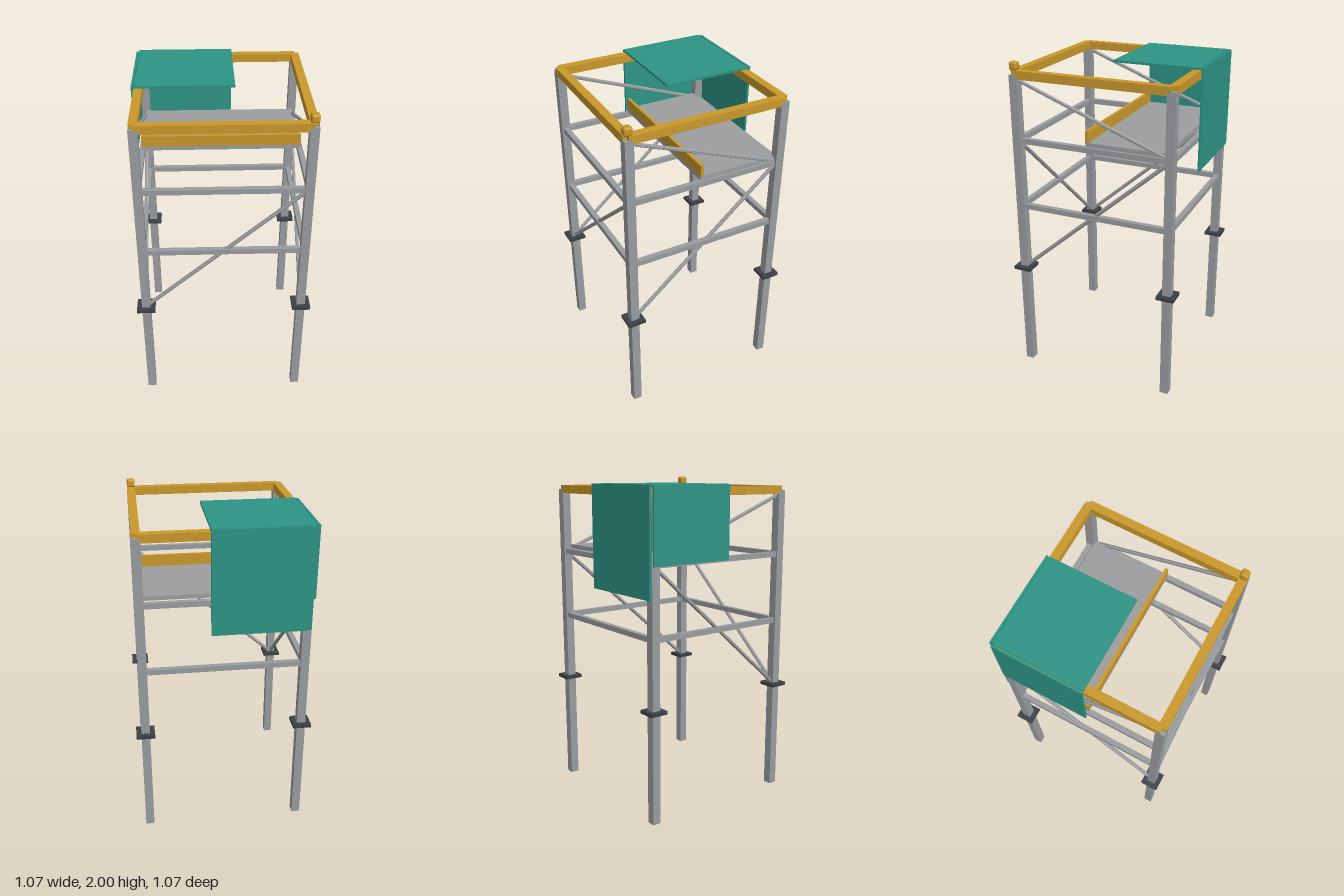
import * as THREE from 'three';
import { RoundedBoxGeometry } from 'three/addons/geometries/RoundedBoxGeometry.js';

const material = (name, color) => {
  const m = new THREE.MeshStandardMaterial({ color });
  m.name = name;
  return m;
};

export function createModel() {
  const model = new THREE.Group();
  model.name = 'scaffoldTower';

  const steel = material('steel', 0x999c9f);
  const deckGrey = material('deck grey', 0x9c9d9e);
  const yellow = material('safety yellow', 0xc9982b);
  const green = material('sheet green', 0x2d9485);
  const dark = material('dark iron', 0x3b4046);

  const C = 0.48; // distance from the middle to each leg's axis

  const add = (name, geometry, mat) => {
    const mesh = new THREE.Mesh(geometry, mat);
    mesh.name = name;
    model.add(mesh);
    return mesh;
  };

  // Box given by its lower and upper corners
  const box = (name, mat, [x0, y0, z0], [x1, y1, z1]) =>
    add(name, new THREE.BoxGeometry(x1 - x0, y1 - y0, z1 - z0), mat)
      .position.set((x0 + x1) / 2, (y0 + y1) / 2, (z0 + z1) / 2);

  // Thin faceted bar between two points
  const brace = (name, a, b) => {
    const from = new THREE.Vector3(...a);
    const to = new THREE.Vector3(...b);
    const dir = to.clone().sub(from);
    const geometry = new THREE.CylinderGeometry(0.012, 0.012, dir.length(), 6).toNonIndexed();
    geometry.computeVertexNormals();
    const mesh = add(name, geometry, steel);
    mesh.position.copy(from).add(to).multiplyScalar(0.5);
    mesh.quaternion.setFromUnitVectors(new THREE.Vector3(0, 1, 0), dir.normalize());
  };

  // Legs with their collar plates
  for (const x of [-C, C]) {
    for (const z of [-C, C]) {
      box('leg', steel, [x - 0.026, 0, z - 0.026], [x + 0.026, 1.925, z + 0.026]);
      box('collarPlate', dark, [x - 0.056, 0.68, z - 0.056], [x + 0.056, 0.7, z + 0.056]);
    }
  }

  // Horizontal members run from leg axis to leg axis on all four sides
  const ring = (name, mat, y, width, height) => {
    const w = width / 2, h = height / 2;
    for (const s of [-C, C]) {
      box(name, mat, [-C, y - h, s - w], [C, y + h, s + w]);
      box(name, mat, [s - w, y - h, -C], [s + w, y + h, C]);
    }
  };
  ring('lowerRail', steel, 1.112, 0.032, 0.032);
  ring('upperRail', steel, 1.532, 0.032, 0.032);
  ring('topBeam', yellow, 1.926, 0.05, 0.05);

  // Diagonal bracing on the front and both sides
  brace('frontBrace', [-C, 0.69, C], [C, 1.53, C]);
  for (const x of [-C, C]) {
    brace('sideBrace', [x, 0.69, C], [x, 1.53, -C]);
    brace('upperSideBrace', [x, 1.9, C], [x, 1.535, -C]);
  }

  // Work platform and its toe board
  box('deck', deckGrey, [-C, 1.548, -0.45], [C, 1.573, 0.04]);
  box('toeBoard', yellow, [-C, 1.573, 0.02], [C, 1.642, 0.04]);

  // Weather sheets around the rear corner
  box('roofSheet', green, [-0.502, 1.952, -0.502], [0.08, 1.966, 0.04]);
  box('backSheet', green, [-0.502, 1.34, -0.52], [0.08, 1.965, -0.507]);
  box('sideSheet', green, [-0.52, 1.528, -0.502], [-0.507, 1.963, 0.04]);

  // Beacon on the front corner
  add('beacon', new RoundedBoxGeometry(0.05, 0.05, 0.05, 2, 0.013), yellow)
    .position.set(C, 1.975, C);

  return model;
}
